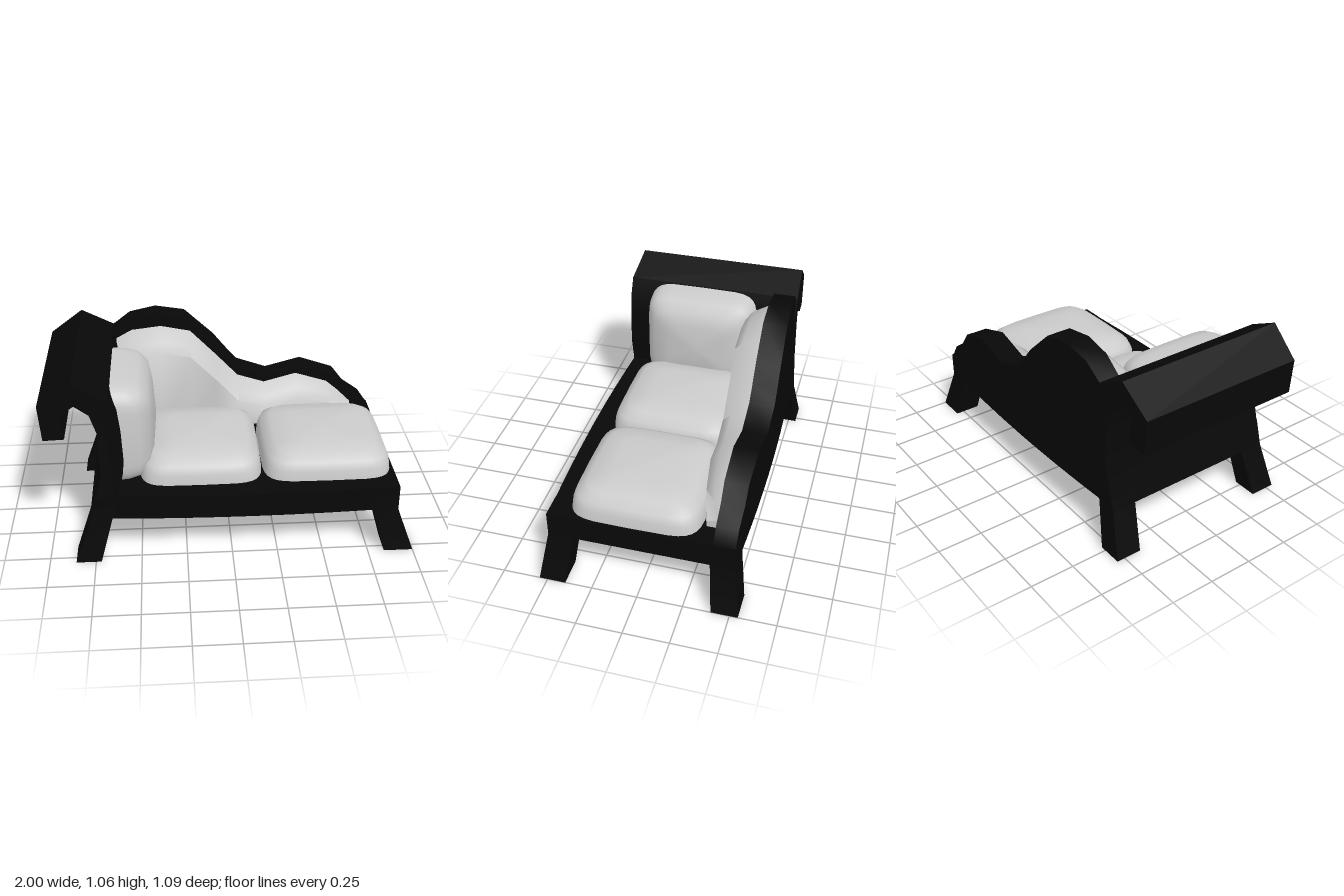
import * as THREE from 'three';
import { toCreasedNormals } from 'three/addons/utils/BufferGeometryUtils.js';

const black = new THREE.MeshStandardMaterial({ color: 0x080808 });
const grey = new THREE.MeshStandardMaterial({ color: 0xcccccc });

// Closed skin over a row of convex rings, each an array of [x, y, z]
function loft(rings, crease = 0.7) {
  const n = rings[0].length, p = rings.flat(), idx = [];
  for (let r = 0; r < rings.length - 1; r++) {
    for (let i = 0; i < n; i++) {
      const a = r * n + i, b = r * n + (i + 1) % n;
      idx.push(a, b, a + n, b, b + n, a + n);
    }
  }
  const last = (rings.length - 1) * n;
  for (let i = 1; i < n - 1; i++) {
    idx.push(0, i + 1, i, last, last + i, last + i + 1);
  }
  // Turn the skin outward if its signed volume is negative
  const v = p.map(q => new THREE.Vector3(...q));
  let volume = 0;
  for (let i = 0; i < idx.length; i += 3) {
    volume += v[idx[i]].dot(v[idx[i + 1]].clone().cross(v[idx[i + 2]]));
  }
  if (volume < 0) idx.reverse();
  const g = new THREE.BufferGeometry();
  g.setAttribute('position', new THREE.Float32BufferAttribute(p.flat(), 3));
  g.setIndex(idx);
  return toCreasedNormals(g, crease);
}

// Rectangle standing at x, and rectangle lying at y
const rectX = (x, y0, y1, z0, z1) => [[x, y0, z0], [x, y1, z0], [x, y1, z1], [x, y0, z1]];
const rectY = (y, x0, x1, z0, z1) => [[x0, y, z0], [x1, y, z0], [x1, y, z1], [x0, y, z1]];

// Domed cushion with a rounded-square outline, resting on y = 0
function cushion(halfX, halfZ, height) {
  const layers = [[0, 1], [0.35, 0.98], [0.62, 0.93], [0.84, 0.79], [0.94, 0.5], [1, 0.06]];
  const soft = t => Math.sign(t) * Math.abs(t) ** 0.36;
  return loft(layers.map(([h, s]) => {
    const ring = [];
    for (let i = 0; i < 32; i++) {
      const a = (i / 32) * Math.PI * 2;
      ring.push([halfX * s * soft(Math.cos(a)), height * h, halfZ * s * soft(Math.sin(a))]);
    }
    return ring;
  }), 1.5);
}

export function createModel() {
  const group = new THREE.Group();
  const add = (name, geometry, material) => {
    const m = new THREE.Mesh(geometry, material);
    m.name = name;
    group.add(m);
    return m;
  };
  const bow = x => 0.5 + 0.025 * (1 - ((x - 0.13) / 0.78) ** 2);

  // Seat frame, bowed along both long sides
  const frame = [];
  for (let i = 0; i <= 8; i++) {
    const x = -0.65 + i * 0.195;
    frame.push(rectX(x, 0.25, 0.39, -bow(x), bow(x)));
  }
  add('seatFrame', loft(frame), black);

  // Splayed legs running up into the corner posts
  for (const s of [1, -1]) {
    const side = s > 0 ? 'front' : 'back';
    add(side + 'LeftLeg', loft([
      rectY(0, 0.84, 1, s * 0.4, s * 0.545),
      rectY(0.25, 0.77, 0.908, s * 0.37, s * 0.51),
      rectY(0.39, 0.77, 0.908, s * 0.37, s * 0.51),
    ]), black);
    add(side + 'RightLeg', loft([
      rectY(0, -0.857, -0.72, s * 0.4, s * 0.545),
      rectY(0.25, -0.77, -0.65, s * 0.37, s * 0.51),
      rectY(0.39, -0.73, -0.615, s * 0.37, s * 0.51),
    ]), black);
  }

  // Scrolled headboard, narrowing a little toward the curl
  const scroll = [
    [-0.77, 0.25], [-0.65, 0.25], [-0.61, 0.39], [-0.578, 0.54], [-0.585, 0.72], [-0.6, 0.85],
    [-0.64, 0.955], [-0.82, 1.05], [-1, 0.92], [-0.985, 0.722], [-0.872, 0.735],
    [-0.89, 0.87], [-0.81, 0.93], [-0.735, 0.88], [-0.702, 0.78], [-0.695, 0.53],
  ];
  const headboard = new THREE.ExtrudeGeometry(
    new THREE.Shape(scroll.map(q => new THREE.Vector2(...q))), { depth: 1, bevelEnabled: false });
  const pos = headboard.attributes.position;
  for (let i = 0; i < pos.count; i++) {
    const t = THREE.MathUtils.clamp((-0.62 - pos.getX(i)) / 0.38, 0, 1);
    const up = pos.getY(i) > 0.6 ? t : 0;
    pos.setZ(i, pos.getZ(i) > 0.5 ? 0.505 - 0.05 * up : -0.51 + 0.02 * up);
  }
  headboard.computeVertexNormals();
  add('headboard', toCreasedNormals(headboard, 0.7), black);

  // Wavy backrest panel
  const crest = [
    [-0.66, 0.94], [-0.54, 1.03], [-0.39, 1.06], [-0.22, 1.03], [-0.05, 0.87], [0.03, 0.77], [0.09, 0.7],
    [0.27, 0.637], [0.48, 0.695], [0.68, 0.63], [0.75, 0.54], [0.85, 0.47], [0.905, 0.39],
  ];
  add('backrest', loft(crest.map(([x, y]) => rectX(x, 0.25, y, -bow(x), -0.385))), black);

  // Padding on the backrest, sloping forward from the crest
  const pad = [
    [-0.62, 0.92, 0.24], [-0.53, 0.97, 0.235], [-0.36, 0.99, 0.235], [-0.19, 0.955, 0.235], [-0.04, 0.8, 0.24],
    [0.09, 0.66, 0.24], [0.25, 0.608, 0.245], [0.44, 0.66, 0.255], [0.63, 0.6, 0.28], [0.7, 0.54, 0.295],
    [0.78, 0.46, 0.32],
  ];
  add('backCushion', loft(pad.map(([x, y, f]) => {
    const d = Math.min(0.11, (y - 0.38) * 0.45);
    return [[x, 0.38, -0.4], [x, y, -0.4], [x, y - 0.01, -0.375],
      [x, y - d * 0.6, -f - 0.045], [x, y - d, -f], [x, 0.38, -f]];
  }), 0.9), grey);

  // Two seat cushions
  add('rightSeatCushion', cushion(0.34, 0.36, 0.165), grey).position.set(-0.16, 0.385, 0.055);
  add('leftSeatCushion', cushion(0.36, 0.36, 0.165), grey).position.set(0.54, 0.385, 0.055);

  // Pillow leaning on the headboard
  const pillow = add('headCushion', cushion(0.295, 0.335, 0.235), grey);
  pillow.rotation.z = -Math.PI / 2;
  pillow.position.set(-0.635, 0.655, 0.05);

  return group;
}
